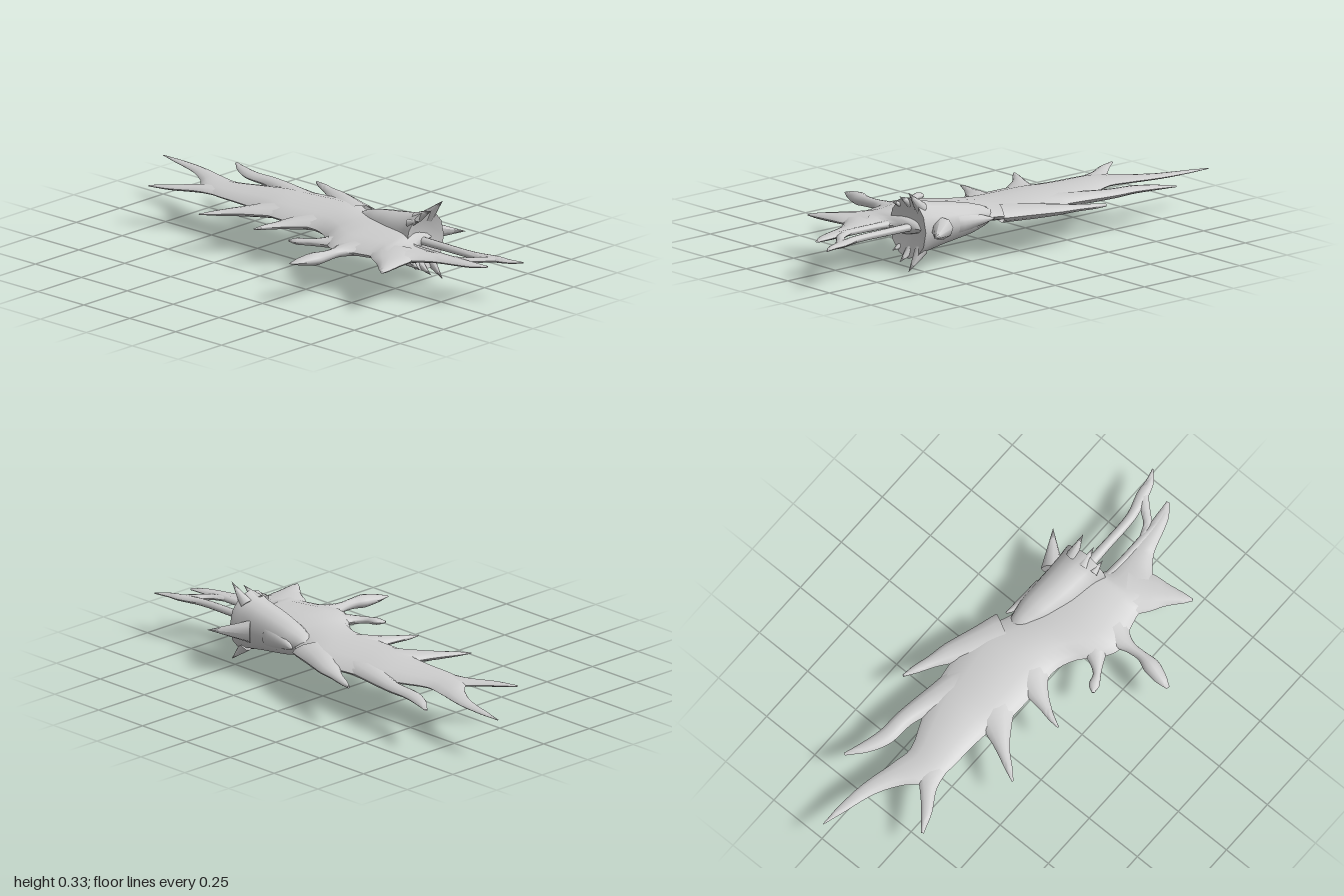
import * as THREE from 'three';
import { toCreasedNormals } from 'three/addons/utils/BufferGeometryUtils.js';

const MID = 0.167; // height of the blade's mid plane
const SIDES = 12;

const bone = new THREE.MeshStandardMaterial({ color: 0xcccccc, side: THREE.DoubleSide });
bone.name = 'pale grey bone';

// Sweeps a flattened ring through sections [x, z, halfWidth, halfThickness].
// alongZ keeps every ring square to the z axis.
function sweep(sections, { steps = 4, alongZ = false, power = 1.25 } = {}) {
  const path = new THREE.CatmullRomCurve3(sections.map(s => new THREE.Vector3(s[0], MID, s[1])), false, 'centripetal');
  const size = new THREE.CatmullRomCurve3(sections.map(s => new THREE.Vector3(s[2], s[3], 0)), false, 'catmullrom', 0.4);
  const count = (sections.length - 1) * steps;
  const pos = [], index = [];
  for (let i = 0; i <= count; i++) {
    const t = i / count;
    const c = path.getPoint(t), s = size.getPoint(t);
    const d = alongZ ? new THREE.Vector3(0, 0, 1) : path.getTangent(t);
    const w = Math.max(s.x, 0.001), h = Math.max(s.y, 0.001);
    for (let j = 0; j < SIDES; j++) {
      const a = j / SIDES * Math.PI * 2;
      const u = Math.cos(a) * w;
      const v = Math.sign(Math.sin(a)) * Math.pow(Math.abs(Math.sin(a)), power) * h;
      pos.push(c.x + d.z * u, c.y + v, c.z - d.x * u);
    }
  }
  for (let i = 0; i < count; i++) {
    for (let j = 0; j < SIDES; j++) {
      const k = (j + 1) % SIDES, p = i * SIDES, q = p + SIDES;
      index.push(p + j, p + k, q + k, p + j, q + k, q + j);
    }
  }
  const geo = new THREE.BufferGeometry();
  geo.setAttribute('position', new THREE.Float32BufferAttribute(pos, 3));
  geo.setIndex(index);
  return toCreasedNormals(geo, 0.9);
}

// A pointed cone from a base point to a tip
function thorn(base, tip, radius) {
  const a = new THREE.Vector3(...base), b = new THREE.Vector3(...tip);
  const dir = b.clone().sub(a);
  const geo = new THREE.ConeGeometry(radius, dir.length(), 8);
  geo.translate(0, dir.length() / 2, 0);
  geo.applyQuaternion(new THREE.Quaternion().setFromUnitVectors(new THREE.Vector3(0, 1, 0), dir.normalize()));
  geo.translate(a.x, a.y, a.z);
  return geo;
}

export function createModel() {
  const group = new THREE.Group();
  const add = (name, geo) => {
    const mesh = new THREE.Mesh(geo, bone);
    mesh.name = name;
    group.add(mesh);
  };

  // Main blade: [z, left edge, right edge, half thickness]
  const body = [
    [-0.995, 0.245, 0.249, 0.002], [-0.9, 0.215, 0.25, 0.006], [-0.77, 0.175, 0.238, 0.01],
    [-0.67, 0.115, 0.215, 0.014], [-0.6, 0.045, 0.2, 0.017], [-0.53, 0.018, 0.19, 0.02],
    [-0.4, 0.01, 0.24, 0.026], [-0.28, 0, 0.285, 0.033], [-0.18, -0.03, 0.3, 0.036],
    [0, -0.035, 0.325, 0.038], [0.1, -0.035, 0.275, 0.04], [0.18, -0.07, 0.245, 0.042],
    [0.25, -0.135, 0.25, 0.045], [0.32, -0.17, 0.25, 0.047], [0.42, -0.145, 0.24, 0.045],
    [0.49, -0.13, 0.22, 0.04], [0.53, -0.14, 0.09, 0.03], [0.6, -0.14, 0.075, 0.022],
    [0.65, -0.065, 0.072, 0.018], [0.72, -0.012, 0.075, 0.014], [0.8, 0.015, 0.08, 0.012],
    [0.87, 0.04, 0.085, 0.009], [0.92, 0.078, 0.092, 0.003],
  ];
  add('blade', sweep(body.map(([z, l, r, h]) => [(l + r) / 2, z, (r - l) / 2, h]), { steps: 3, alongZ: true }));

  // Flat spikes along both edges and the prongs at the front
  const spikes = {
    rearRightSpike: [[0.09, -0.52, 0.08, 0.016], [0.03, -0.61, 0.035, 0.014], [-0.03, -0.69, 0.022, 0.01], [-0.076, -0.77, 0.006, 0.003]],
    upperRightSpike: [[0.08, -0.17, 0.12, 0.03], [-0.01, -0.235, 0.06, 0.022], [-0.09, -0.295, 0.028, 0.016], [-0.15, -0.335, 0.017, 0.01], [-0.207, -0.373, 0.004, 0.002]],
    middleRightSpike: [[0.06, 0.03, 0.1, 0.03], [-0.03, -0.02, 0.05, 0.022], [-0.1, -0.05, 0.025, 0.014], [-0.15, -0.07, 0.014, 0.01], [-0.197, -0.083, 0.004, 0.002]],
    knobSpike: [[-0.06, 0.29, 0.08, 0.03], [-0.13, 0.23, 0.032, 0.018], [-0.17, 0.185, 0.016, 0.014], [-0.19, 0.145, 0.022, 0.013], [-0.208, 0.117, 0.006, 0.004]],
    paddleSpike: [[-0.05, 0.38, 0.1, 0.035], [-0.14, 0.36, 0.05, 0.024], [-0.2, 0.358, 0.024, 0.02], [-0.255, 0.36, 0.022, 0.022], [-0.31, 0.352, 0.034, 0.026], [-0.37, 0.337, 0.026, 0.016], [-0.42, 0.325, 0.008, 0.002]],
    lowerRightSpike: [[-0.03, 0.53, 0.11, 0.03], [-0.11, 0.585, 0.08, 0.022], [-0.17, 0.622, 0.045, 0.017], [-0.22, 0.65, 0.024, 0.011], [-0.255, 0.67, 0.006, 0.003]],
    rearLeftSpike: [[0.2, -0.18, 0.09, 0.03], [0.26, -0.33, 0.05, 0.024], [0.29, -0.45, 0.037, 0.019], [0.297, -0.55, 0.035, 0.015], [0.325, -0.63, 0.026, 0.011], [0.374, -0.717, 0.006, 0.003]],
    middleLeftSpike: [[0.22, 0.08, 0.09, 0.035], [0.28, -0.03, 0.065, 0.03], [0.33, -0.12, 0.046, 0.022], [0.365, -0.2, 0.026, 0.014], [0.39, -0.26, 0.018, 0.011], [0.411, -0.315, 0.005, 0.006]],
    innerProng: [[0.065, 0.45, 0.024, 0.016], [0.062, 0.6, 0.018, 0.014], [0.06, 0.75, 0.02, 0.013], [0.065, 0.85, 0.022, 0.01], [0.085, 0.92, 0.008, 0.004]],
    outerProng: [[0.155, 0.45, 0.024, 0.016], [0.155, 0.62, 0.02, 0.015], [0.158, 0.78, 0.02, 0.014], [0.183, 0.88, 0.024, 0.012], [0.195, 0.935, 0.017, 0.008], [0.222, 0.988, 0.003, 0.003]],
    prongBridge: [[0.06, 0.74, 0.018, 0.011], [0.09, 0.8, 0.017, 0.011], [0.13, 0.835, 0.019, 0.011], [0.185, 0.885, 0.02, 0.011]],
    socketBackSpike: [[0.23, 0.32, 0.04, 0.05], [0.25, 0.22, 0.024, 0.025], [0.272, 0.15, 0.004, 0.003]],
  };
  for (const [name, sections] of Object.entries(spikes)) add(name, sweep(sections));

  // Flaring socket with a hollowed front face
  add('socket', sweep([
    [0.2, 0.1, 0.03, 0.012], [0.2, 0.16, 0.05, 0.042], [0.19, 0.24, 0.075, 0.065],
    [0.175, 0.35, 0.09, 0.085], [0.168, 0.45, 0.098, 0.104], [0.162, 0.51, 0.108, 0.125],
  ], { alongZ: true, power: 1 }));
  add('socketFace', sweep([[0.162, 0.51, 0.108, 0.125], [0.162, 0.47, 0.001, 0.001]], { alongZ: true, power: 1, steps: 2 }));

  // Thorns on the socket rim, mirrored above and below
  for (const s of [1, -1]) {
    const y = d => MID + s * d;
    add('tallRimThorn', thorn([0.208, y(0.085), 0.48], [0.216, y(0.163), 0.555], 0.027));
    add('shortRimThorn', thorn([0.148, y(0.09), 0.475], [0.156, y(0.135), 0.55], 0.024));
    add('smallRimThorn', thorn([0.1, y(0.08), 0.48], [0.1, y(0.1), 0.54], 0.018));
  }

  // Side thorn on the model's left
  add('sideThorn', thorn([0.252, MID, 0.41], [0.362, MID, 0.543], 0.046));

  return group;
}
